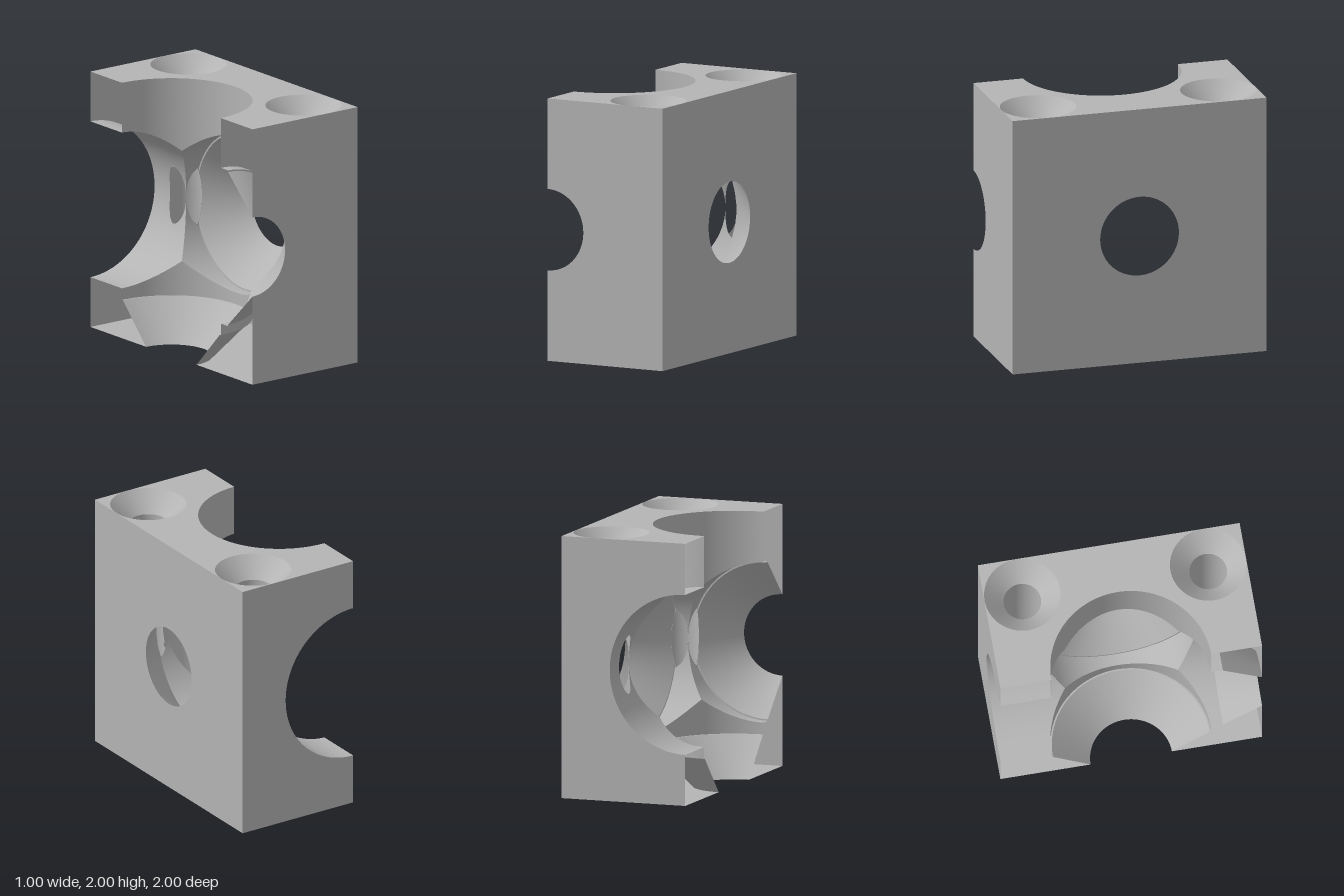
import * as THREE from 'three';

const R = 0.61;                  // main bore radius
const RIM = 0.598, NECK = 0.31;  // cone radii at its wide and narrow ends
const STEP = 0.7;                // distance from the centre where the cone begins
const OFF = 0.71;                // bolt hole offset from the bore centre
const BOLT = 0.142, SINK = 0.288, SINK_DEPTH = 0.15;

const coneRadius = (t) => RIM + (NECK - RIM) * (t - STEP) / (1 - STEP);

export function createModel() {
  const group = new THREE.Group();
  const grey = new THREE.MeshStandardMaterial({ color: 0xb4b4b4, side: THREE.DoubleSide });
  grey.name = 'plain grey';

  const add = (name, geometry) => {
    const mesh = new THREE.Mesh(geometry, grey);
    mesh.name = name;
    group.add(mesh);
  };

  // Ruled strip between two edges; ends(angle) gives the two points
  const strip = (name, a0, a1, n, ends) => {
    const pos = [], index = [];
    for (let i = 0; i <= n; i++) {
      const [p, q] = ends(a0 + (a1 - a0) * i / n);
      pos.push(...p, ...q);
      if (i < n) {
        const k = 2 * i;
        index.push(k, k + 2, k + 1, k + 1, k + 2, k + 3);
      }
    }
    const g = new THREE.BufferGeometry();
    g.setAttribute('position', new THREE.Float32BufferAttribute(pos, 3));
    g.setIndex(index);
    g.computeVertexNormals();
    add(name, g);
  };

  // Outer walls: a panel with a half-round notch or a round hole
  const panel = (name, notch, holes, place) => {
    const s = new THREE.Shape();
    s.moveTo(-0.5, -1);
    s.lineTo(0.5, -1);
    s.lineTo(0.5, 1);
    s.lineTo(-0.5, 1);
    s.lineTo(-0.5, notch);
    s.absarc(-0.5, 0, notch, Math.PI / 2, -Math.PI / 2, true);
    s.closePath();
    for (const v of holes.length ? [-OFF, OFF] : []) {
      s.holes.push(new THREE.Path().absarc(OFF - 0.5, v, holes[0], 0, Math.PI * 2, true));
    }
    const g = new THREE.ShapeGeometry(s, 48);
    place(g);
    add(name, g);
  };
  panel('frontWall', NECK, [], (g) => g.translate(0, 1, 1));
  panel('backWall', R, [], (g) => g.rotateX(Math.PI).translate(0, 1, -1));
  panel('topWall', R, [SINK], (g) => g.rotateX(-Math.PI / 2).translate(0, 2, 0));
  panel('bottomWall', NECK, [BOLT], (g) => g.rotateX(Math.PI / 2));

  const side = new THREE.Shape([[-1, -1], [1, -1], [1, 1], [-1, 1]].map((p) => new THREE.Vector2(...p)));
  side.holes.push(new THREE.Path().absarc(0, 0, NECK, 0, Math.PI * 2, true));
  add('sideWall', new THREE.ShapeGeometry(side, 48).rotateY(Math.PI / 2).translate(0.5, 1, 0));

  // Bores: each starts where it leaves the crossing bores
  const startOf = (a) => R * Math.max(Math.abs(Math.cos(a)), Math.abs(Math.sin(a)));
  // Half length of the slit a bolt hole cuts at distance q from the bore axis
  const slit = (q) => Math.sqrt(Math.max(0, BOLT * BOLT - (OFF - q) ** 2));

  const bore = (name, half, tapered, bolted, map) => {
    const a0 = half ? -Math.PI / 2 : 0;
    const a1 = half ? Math.PI / 2 : Math.PI * 2;
    const n = half ? 96 : 192;
    const at = (a, r, t) => map(r * Math.cos(a), r * Math.sin(a), t);
    const cut = (a) => (bolted ? slit(R * Math.abs(Math.cos(a))) : 0);
    const end = tapered ? STEP : 1;

    strip(name + 'Wall', a0, a1, n, (a) => {
      const t0 = startOf(a);
      return [at(a, R, t0), at(a, R, Math.max(t0, Math.min(end, OFF - cut(a))))];
    });
    if (!tapered) {
      strip(name + 'OuterWall', a0, a1, n, (a) => [at(a, R, OFF + cut(a)), at(a, R, 1)]);
      return;
    }
    // Cone begins beyond any part opened by a bolt hole
    const coneStart = (a) => {
      let t = STEP;
      const c = Math.abs(Math.cos(a));
      while (bolted && t < 1 && Math.hypot(coneRadius(t) * c - OFF, t - OFF) < BOLT) t += 0.001;
      return t;
    };
    strip(name + 'Ledge', a0, a1, n, (a) => {
      const open = coneStart(a) > STEP;
      return [at(a, R, STEP), at(a, open ? R : RIM, STEP)];
    });
    strip(name + 'Cone', a0, a1, n, (a) => {
      const t = coneStart(a);
      return [at(a, coneRadius(t), t), at(a, NECK, 1)];
    });
  };
  bore('topBore', true, false, false, (p, q, t) => [p - 0.5, 1 + t, q]);
  bore('bottomBore', true, true, false, (p, q, t) => [p - 0.5, 1 - t, q]);
  bore('frontBore', true, true, true, (p, q, t) => [p - 0.5, 1 + q, t]);
  bore('backBore', true, false, true, (p, q, t) => [p - 0.5, 1 + q, -t]);
  bore('sideBore', false, true, true, (p, q, t) => [t - 0.5, 1 + q, p]);

  // Countersunk bolt holes, opened where they break into the bores
  const opening = (t, q, tapered) => {
    const r = tapered && t > STEP ? coneRadius(t) : R;
    return Math.sqrt(Math.max(0, r * r - q * q));
  };
  for (const s of [1, -1]) {
    const at = (a, r, y) => [OFF - 0.5 + r * Math.cos(a), y, s * (OFF + r * Math.sin(a))];
    const gap = (a) => {
      const u = OFF + BOLT * Math.cos(a), w = OFF + BOLT * Math.sin(a);
      return Math.max(opening(u, w, true), opening(w, u, s > 0));
    };
    const full = Math.PI * 2, neck = 2 - SINK_DEPTH;
    strip('boltHoleLower', 0, full, 96, (a) => [at(a, BOLT, 0), at(a, BOLT, 1 - gap(a))]);
    strip('boltHoleUpper', 0, full, 96, (a) => [at(a, BOLT, 1 + gap(a)), at(a, BOLT, neck)]);
    strip('countersink', 0, full, 96, (a) => [at(a, BOLT, neck), at(a, SINK, 2)]);
  }
  return group;
}
